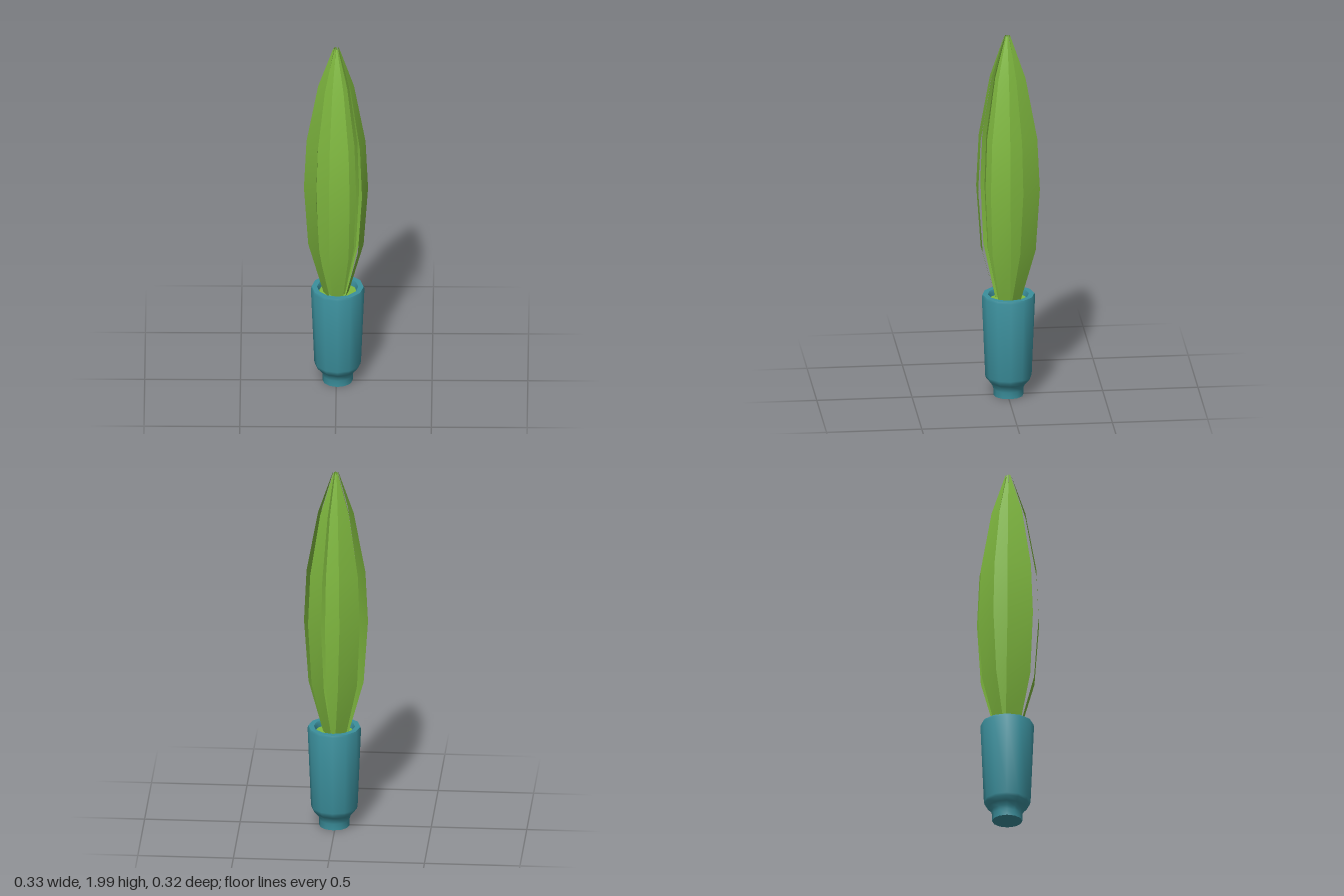
import * as THREE from 'three';
import { toCreasedNormals } from 'three/addons/utils/BufferGeometryUtils.js';

const leafGreen = new THREE.MeshStandardMaterial({ color: 0x7fb83f, side: THREE.DoubleSide });
leafGreen.name = 'leaf green';
const potTeal = new THREE.MeshStandardMaterial({ color: 0x3b8f9c });
potTeal.name = 'pot teal';

// Leaf rows: height, share of full bulge, share of full width
const ROWS = [
  [0.5, 0.33, 0.5], [0.81, 0.85, 0.94], [1.15, 1, 1],
  [1.43, 0.92, 0.92], [1.76, 0.56, 0.55], [1.985, 0.1, 0.06],
];

// Thin bowed blade running between two widest corners (x, z), outside facing out
function leafGeometry(ax, az, bx, bz) {
  const cx = (ax + bx) / 2, cz = (az + bz) / 2;
  const hx = (bx - ax) / 2, hz = (bz - az) / 2;
  const pos = [], index = [];
  ROWS.forEach(([y, bulge, width], i) => {
    for (const s of [-1, 1]) pos.push(cx * bulge + s * hx * width, y, cz * bulge + s * hz * width);
    if (i) {
      const k = i * 2;
      index.push(k - 2, k - 1, k + 1, k - 2, k + 1, k);
    }
  });
  const g = new THREE.BufferGeometry();
  g.setAttribute('position', new THREE.Float32BufferAttribute(pos, 3));
  g.setIndex(index);
  g.computeVertexNormals();
  return g;
}

function addPart(parent, name, geometry, material) {
  const mesh = new THREE.Mesh(geometry, material);
  mesh.name = name;
  parent.add(mesh);
  return mesh;
}

export function createModel() {
  const model = new THREE.Group();
  model.name = 'pottedPlant';

  // Pot with narrow foot, rounded shoulder and hollow rim
  const profile = [
    [0, 0], [0.079, 0], [0.079, 0.035], [0.085, 0.055], [0.1, 0.075], [0.118, 0.095],
    [0.122, 0.11], [0.14, 0.545], [0.136, 0.557], [0.108, 0.557], [0.102, 0.545], [0.1, 0.5],
  ].map(([r, y]) => new THREE.Vector2(r, y));
  const pot = new THREE.Group();
  pot.name = 'pot';
  pot.position.set(0.007, 0, -0.005);
  model.add(pot);
  addPart(pot, 'potBody', toCreasedNormals(new THREE.LatheGeometry(profile, 12), 0.65), potTeal);

  // Green filling inside the rim
  const filling = addPart(pot, 'filling', new THREE.CircleGeometry(0.104, 12), leafGreen);
  filling.rotation.x = -Math.PI / 2;
  filling.position.y = 0.525;

  // Outer ring of slightly irregular leaves
  const outer = [
    [-0.037, 0.16, 0.071, 0.16], [0.135, 0.1, 0.166, 0],
    [0.14, -0.07, 0.065, -0.164], [-0.03, -0.155, -0.131, -0.075],
    [-0.169, 0, -0.105, 0.131],
  ];
  outer.forEach((c, i) => addPart(model, `outerLeaf${i + 1}`, leafGeometry(...c), leafGreen));

  // Inner ring, set between the outer leaves
  for (let i = 0; i < 5; i++) {
    const a = Math.PI / 5 + (i * Math.PI * 2) / 5;
    const x = Math.sin(a), z = Math.cos(a), r = 0.11, h = 0.048;
    const g = leafGeometry(x * r - z * h, z * r + x * h, x * r + z * h, z * r - x * h);
    addPart(model, `innerLeaf${i + 1}`, g, leafGreen);
  }
  return model;
}
